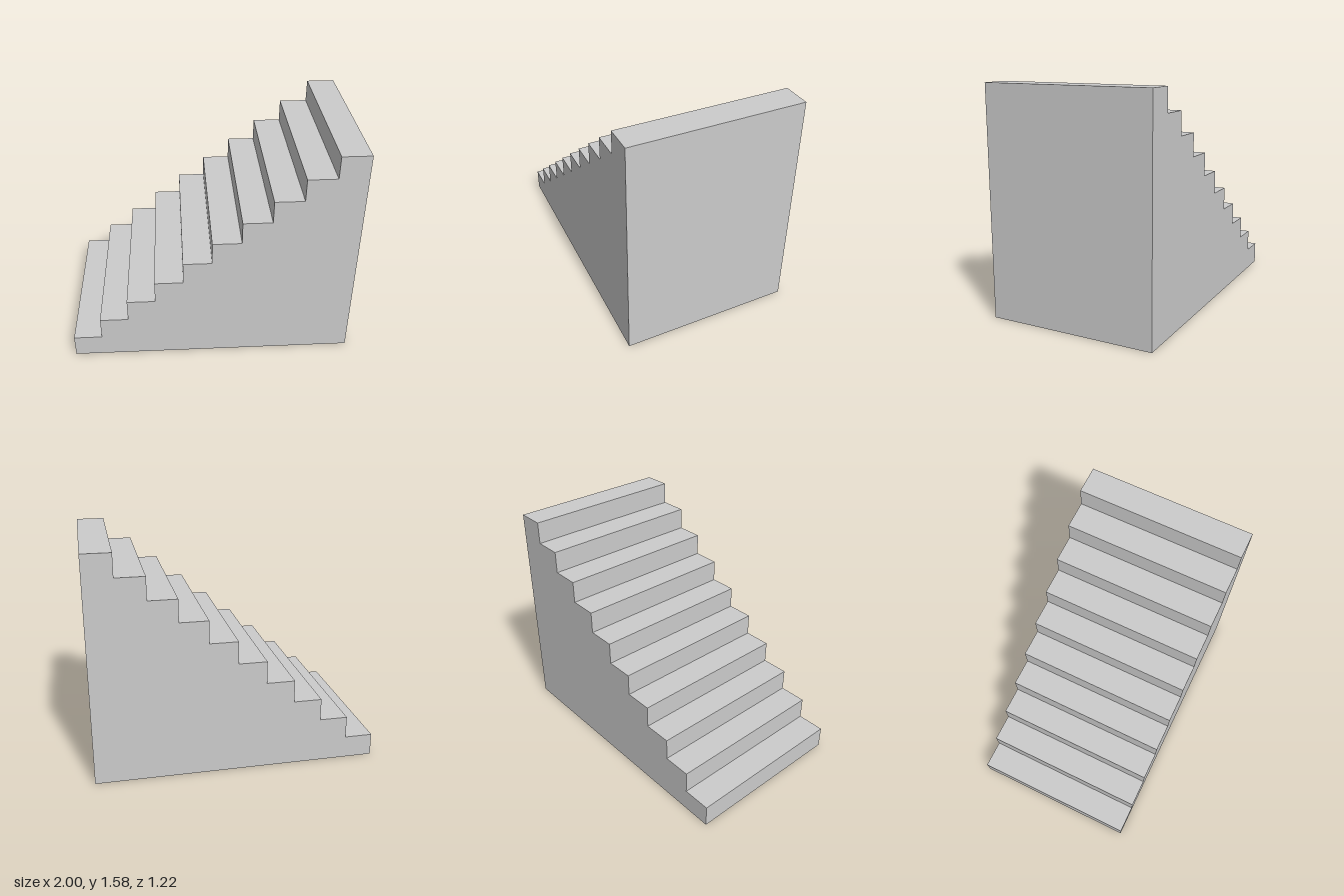
import * as THREE from 'three';

export function createModel() {
  const steps = 10, length = 1.979, height = 1.583, width = 1.187;
  const run = length / steps, rise = height / steps;

  // Stepped side profile, climbing towards +x
  const profile = new THREE.Shape();
  profile.moveTo(-length / 2, 0);
  profile.lineTo(length / 2, 0);
  profile.lineTo(length / 2, height);
  for (let i = steps - 1; i >= 0; i--) {
    const x = -length / 2 + i * run;
    profile.lineTo(x, (i + 1) * rise);
    if (i > 0) profile.lineTo(x, i * rise);
  }

  // Solid staircase across the full width
  const geometry = new THREE.ExtrudeGeometry(profile, { depth: width, bevelEnabled: false });
  geometry.translate(0, 0, -width / 2);
  const staircase = new THREE.Mesh(
    geometry,
    new THREE.MeshStandardMaterial({ color: 0xcccccc, flatShading: true })
  );
  staircase.name = 'staircase';
  staircase.rotation.y = -0.0177; // slight turn about the vertical

  const group = new THREE.Group();
  group.name = 'solidStairs';
  group.add(staircase);
  return group;
}
